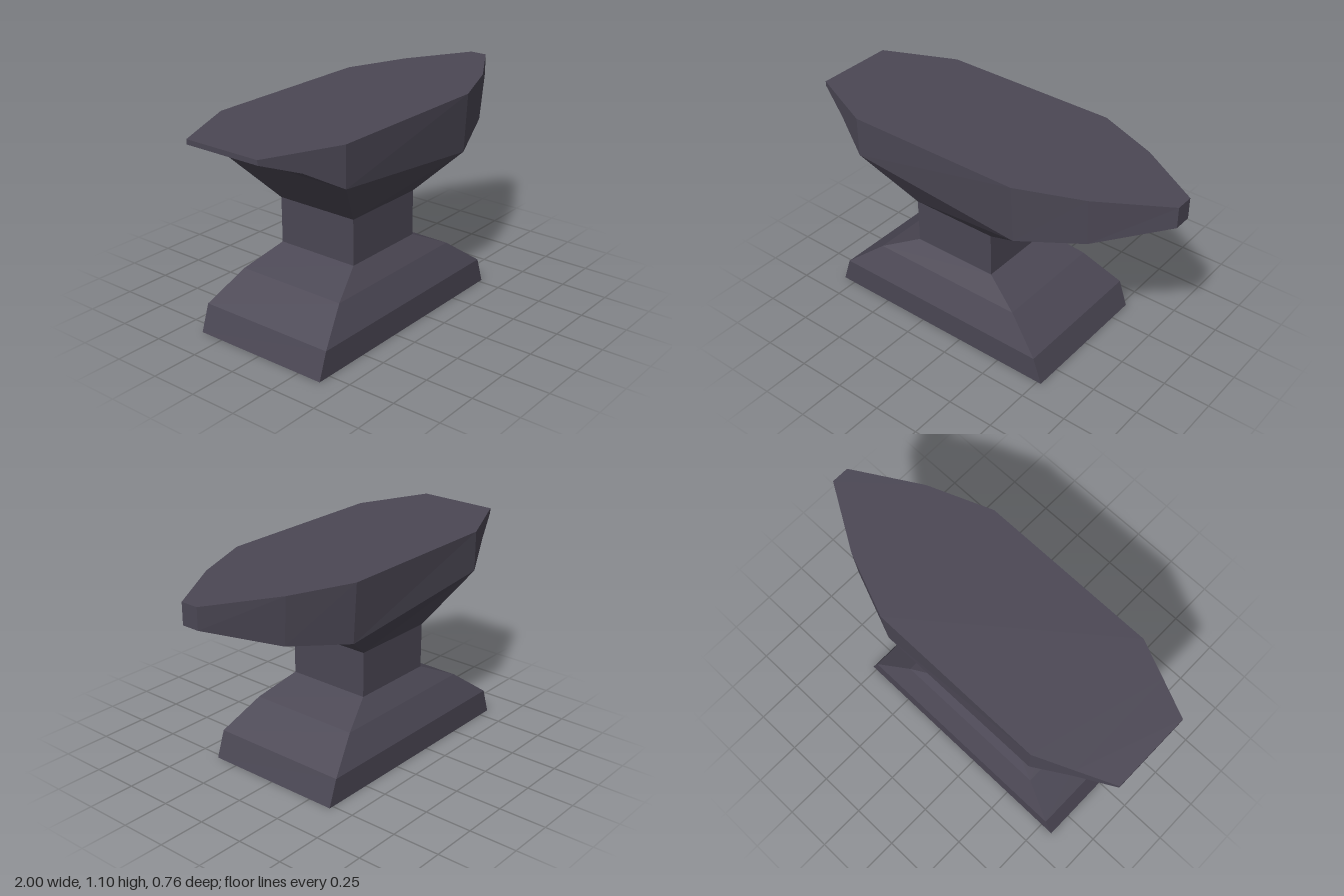
import * as THREE from 'three';

// Flat-shaded mesh from outward-facing quads
function quadMesh(name, quads, material) {
  const pos = quads.flatMap(([a, b, c, d]) => [a, b, c, a, c, d].flat());
  const geo = new THREE.BufferGeometry();
  geo.setAttribute('position', new THREE.Float32BufferAttribute(pos, 3));
  geo.computeVertexNormals();
  const mesh = new THREE.Mesh(geo, material);
  mesh.name = name;
  return mesh;
}

// Horizontal rectangle, counterclockwise from above
const ring = (y, x0, x1, z) => [[x0, y, z], [x1, y, z], [x1, y, -z], [x0, y, -z]];

// Side walls through rings stacked bottom to top
function loft(rings) {
  const quads = [];
  for (let r = 0; r < rings.length - 1; r++) {
    const lo = rings[r], up = rings[r + 1];
    for (let i = 0; i < 4; i++) {
      const j = (i + 1) % 4;
      quads.push([lo[i], lo[j], up[j], up[i]]);
    }
  }
  return quads;
}

export function createModel() {
  const group = new THREE.Group();
  group.name = 'anvil';
  const iron = new THREE.MeshStandardMaterial({ color: 0x4b4754, flatShading: true });
  iron.name = 'dark iron';

  // Stepped, flared foot with a closed underside
  const waistLow = ring(0.38, -0.385, 0.09, 0.228);
  const waistHigh = ring(0.62, -0.385, 0.09, 0.228);
  const foot = [ring(0, -0.82, 0.523, 0.38), ring(0.14, -0.772, 0.475, 0.38),
    ring(0.285, -0.585, 0.285, 0.305), waistLow];
  group.add(quadMesh('base', [...loft(foot), [...foot[0]].reverse()], iron));

  // Square waist
  group.add(quadMesh('waist', loft([waistLow, waistHigh]), iron));

  // Cross-sections from heel to horn: x, top half width, bottom half width, bottom height
  const topY = 1.095;
  const sections = [
    [-1, 0.213, 0.213, 1.07],
    [-0.81, 0.297, 0.297, 0.997],
    [-0.62, 0.38, 0.38, 0.885],
    [0.33, 0.38, 0.363, 0.787],
    [0.66, 0.25, 0.238, 0.85],
    [1, 0.047, 0.047, 0.985],
  ].map(([x, zt, zb, y]) => ({
    tf: [x, topY, zt], tb: [x, topY, -zt], bf: [x, y, zb], bb: [x, y, -zb],
  }));

  // Slabs between neighbouring sections; the middle one opens onto the shoulder
  const slab = (i) => {
    const s = sections[i], t = sections[i + 1];
    const quads = [
      [s.bf, t.bf, t.tf, s.tf],
      [t.bb, s.bb, s.tb, t.tb],
      [s.tf, t.tf, t.tb, s.tb],
    ];
    if (i !== 2) quads.push([s.bb, t.bb, t.bf, s.bf]);
    return quads;
  };
  const heelEnd = sections[0], hornTip = sections[5];
  group.add(quadMesh('heel',
    [...slab(0), ...slab(1), [heelEnd.bb, heelEnd.bf, heelEnd.tf, heelEnd.tb]], iron));
  group.add(quadMesh('face', slab(2), iron));
  group.add(quadMesh('horn',
    [...slab(3), ...slab(4), [hornTip.bf, hornTip.bb, hornTip.tb, hornTip.tf]], iron));

  // Shoulder flaring from the waist to the body
  const a = sections[2], b = sections[3];
  group.add(quadMesh('shoulder', loft([waistHigh, [a.bf, b.bf, b.bb, a.bb]]), iron));

  return group;
}
